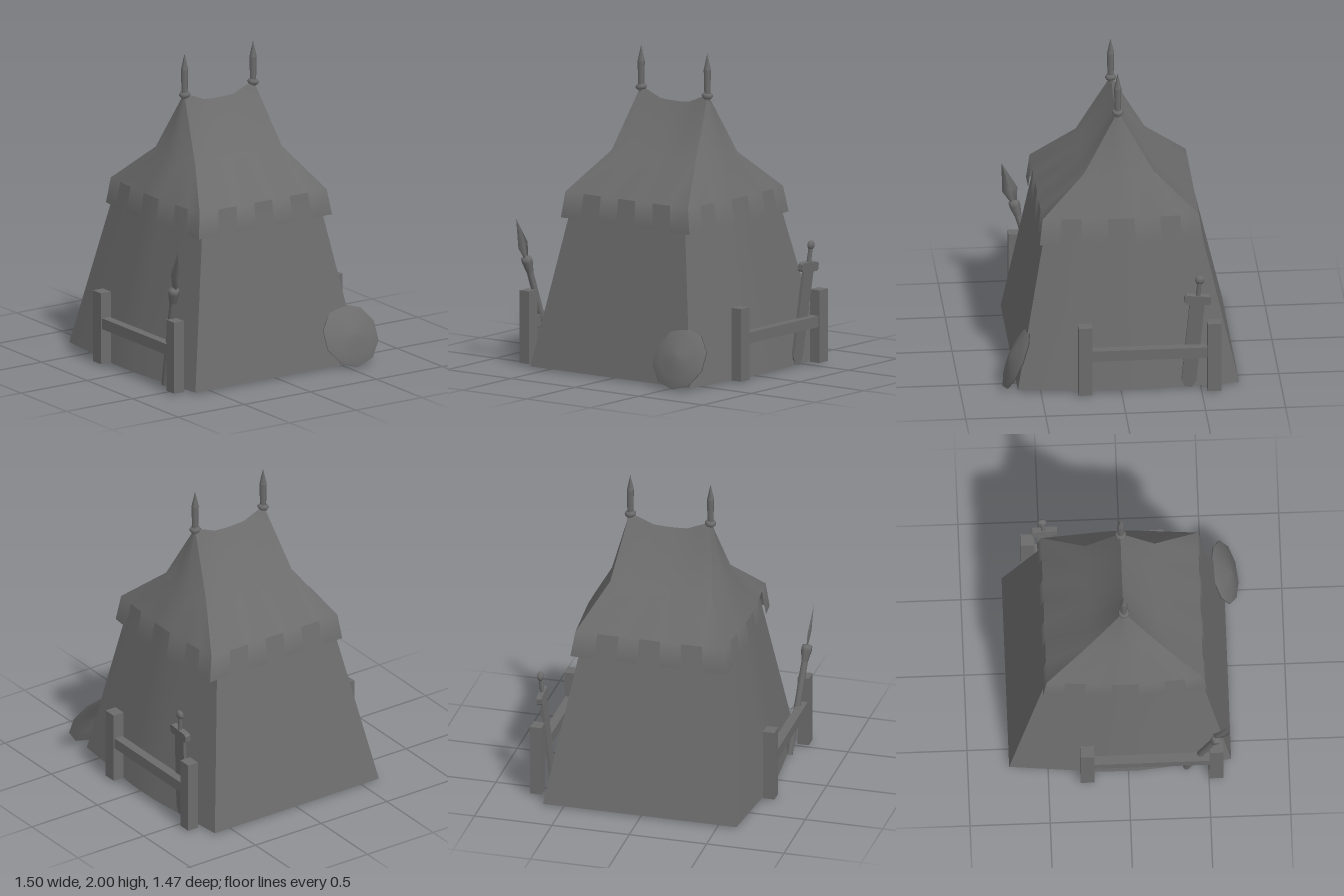
import * as THREE from 'three';

const material = new THREE.MeshStandardMaterial({ color: 0x6c6c6c, side: THREE.DoubleSide });
const mix = THREE.MathUtils.lerp;

function add(parent, name, geometry, x = 0, y = 0, z = 0) {
  const mesh = new THREE.Mesh(geometry, material);
  mesh.name = name;
  mesh.position.set(x, y, z);
  parent.add(mesh);
  return mesh;
}

// A group whose local y axis runs from one point to another
function along(parent, name, from, to) {
  const group = new THREE.Group();
  group.name = name;
  group.position.set(...from);
  const dir = new THREE.Vector3(...to).sub(group.position).normalize();
  group.quaternion.setFromUnitVectors(new THREE.Vector3(0, 1, 0), dir);
  parent.add(group);
  return group;
}

// Flat outline in the z-y plane, given thickness along x
function slab(points, depth) {
  const shape = new THREE.Shape(points.map(([a, b]) => new THREE.Vector2(a, b)));
  return new THREE.ExtrudeGeometry(shape, { depth, bevelEnabled: false })
    .translate(0, 0, -depth / 2).rotateY(-Math.PI / 2);
}

// Turned part from [radius, height] pairs
function turned(profile, sides) {
  return new THREE.LatheGeometry(profile.map(([r, y]) => new THREE.Vector2(r, y)), sides);
}

// Point on one cloth wall: the end walls bulge outward, the ridge sags
function wallPoint(l, side, t) {
  const inset = Math.min(t, 1 - t);
  const bulge = l.bulge * Math.min(1, inset / 0.415);
  const y = l.y - (l.sag || 0) * Math.min(1, inset / 0.31);
  if (side === 'front') return [mix(l.x0, l.x1, t), y, l.zf];
  if (side === 'back') return [mix(l.x1, l.x0, t), y, l.zb];
  if (side === 'right') return [l.x0 - bulge, l.y, mix(l.zb, l.zf, t)];
  return [l.x1 + bulge, l.y, mix(l.zf, l.zb, t)];
}

// Wall through the levels; with notched, odd columns of the lowest row are cut out
function wall(levels, side, columns, notched) {
  const positions = [], index = [], n = columns.length;
  for (const level of levels) for (const t of columns) positions.push(...wallPoint(level, side, t));
  for (let r = 0; r < levels.length - 1; r++) {
    for (let c = 0; c < n - 1; c++) {
      if (notched && r === 0 && c % 2) continue;
      const a = r * n + c;
      index.push(a, a + 1, a + n + 1, a, a + n + 1, a + n);
    }
  }
  const geometry = new THREE.BufferGeometry();
  geometry.setAttribute('position', new THREE.Float32BufferAttribute(positions, 3));
  geometry.setIndex(index);
  geometry.computeVertexNormals();
  return geometry;
}

export function createModel() {
  const model = new THREE.Group();
  model.name = 'tent';

  const bodyLevels = [
    { y: 0.015, x0: -0.622, x1: 0.628, zf: 0.642, zb: -0.742, bulge: 0.054 },
    { y: 0.95, x0: -0.455, x1: 0.46, zf: 0.47, zb: -0.525, bulge: 0.045 },
    { y: 1.12, x0: -0.425, x1: 0.43, zf: 0.44, zb: -0.485, bulge: 0.042 },
  ];
  const roofLevels = [
    { y: 0.952, x0: -0.495, x1: 0.512, zf: 0.495, zb: -0.525, bulge: 0.035 },
    { y: 1.115, x0: -0.475, x1: 0.485, zf: 0.475, zb: -0.502, bulge: 0.03 },
    { y: 1.355, x0: -0.322, x1: 0.335, zf: 0.2, zb: -0.23, bulge: 0.04 },
    { y: 1.74, x0: -0.255, x1: 0.268, zf: -0.015, zb: -0.015, bulge: 0, sag: 0.067 },
  ];
  const longTabs = [0, 0.148, 0.29, 0.43, 0.57, 0.71, 0.852, 1];
  const endTabs = [0, 0.12, 0.25, 0.415, 0.585, 0.75, 0.88, 1];

  // Cloth walls, open underneath, and the roof with its notched valance
  for (const side of ['front', 'back', 'left', 'right']) {
    const long = side === 'front' || side === 'back';
    add(model, side + 'Wall', wall(bodyLevels, side, long ? [0, 1] : [0, 0.415, 0.585, 1]));
    add(model, side + 'Roof', wall(roofLevels, side, long ? longTabs : endTabs, true));
  }

  // Pole tips with collars at both ends of the ridge
  for (const x of [-0.253, 0.265]) {
    add(model, 'poleTip', turned([[0.018, 1.7], [0.023, 1.895], [0.023, 1.895], [0, 2]], 6), x, 0, -0.013);
    const collar = add(model, 'poleCollar', new THREE.TorusGeometry(0.019, 0.018, 6, 10).rotateX(Math.PI / 2), x, 1.733, -0.013);
    collar.rotation.z = Math.sign(x) * -0.15;
  }

  // Weapon racks: two posts and a rail on each side
  for (const [name, x, z0, z1] of [['leftRack', 0.709, -0.578, 0.228], ['rightRack', -0.709, -0.258, 0.546]]) {
    const rack = new THREE.Group();
    rack.name = name;
    model.add(rack);
    for (const z of [z0, z1]) add(rack, 'rackPost', new THREE.BoxGeometry(0.074, 0.46, 0.086), x, 0.246, z);
    add(rack, 'rackRail', new THREE.BoxGeometry(0.058, 0.07, z1 - z0 - 0.08), x, 0.278, (z0 + z1) / 2);
  }

  // Sword leaning point down
  const sword = along(model, 'sword', [0.65, 0.01, -0.42], [0.718, 0.8, -0.49]);
  add(sword, 'swordBlade', slab([[-0.022, 0], [0.025, 0.005], [0.046, 0.05], [0.047, 0.62], [-0.047, 0.62], [-0.046, 0.05]], 0.02));
  add(sword, 'swordGuard', slab([[-0.083, 0.608], [-0.07, 0.597], [0.07, 0.597], [0.083, 0.608],
    [0.083, 0.645], [0.07, 0.656], [-0.07, 0.656], [-0.083, 0.645]], 0.036));
  add(sword, 'swordGrip', new THREE.CylinderGeometry(0.013, 0.015, 0.11, 8), 0, 0.7, 0);
  add(sword, 'swordPommel', new THREE.SphereGeometry(0.03, 10, 8).scale(0.65, 1, 1), 0, 0.764, 0);

  // Spear leaning point up, with a thin leaf head
  const spear = along(model, 'spear', [-0.66, 0.01, 0.36], [-0.745, 0.93, 0.625]);
  add(spear, 'spearShaft', new THREE.CylinderGeometry(0.021, 0.021, 0.64, 8), 0, 0.32, 0);
  add(spear, 'spearSocket', turned([[0.02, 0.59], [0.035, 0.67], [0.034, 0.7], [0, 0.712]], 6));
  add(spear, 'spearHead', turned([[0.02, 0.7], [0.05, 0.785], [0, 0.967]], 4).scale(0.2, 1, 1));

  // Round shield leaning on the front corner
  const shield = along(model, 'shield', [0.55, 0.197, 0.65], [0.55, 0.607, 1.56]);
  add(shield, 'shieldDisc', turned([[0, 0.008], [0.12, 0], [0.2, -0.01], [0.2, 0],
    [0.14, 0.017], [0.075, 0.033], [0.03, 0.043], [0, 0.045]], 10));

  return model;
}
